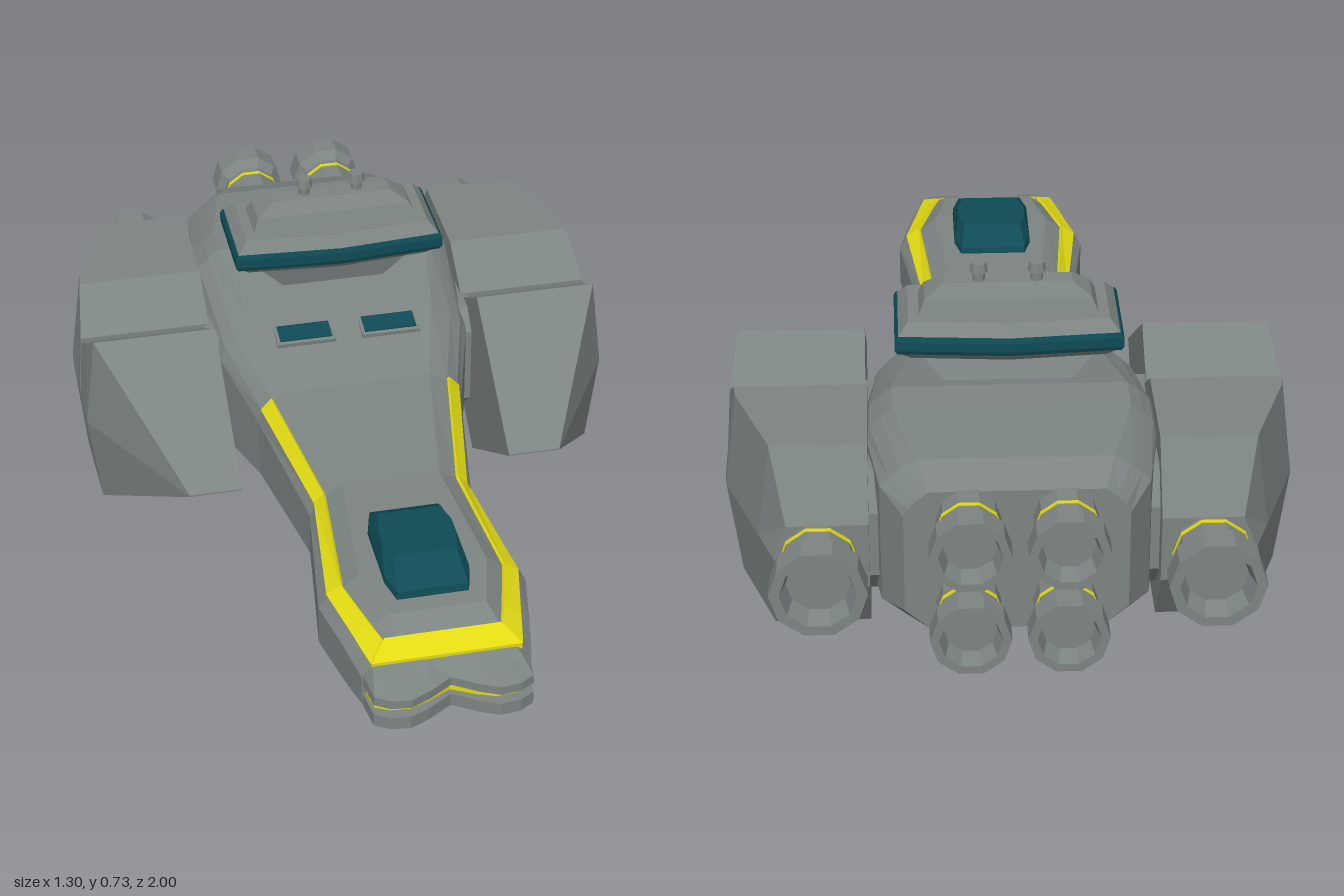
import * as THREE from 'three';

const material = (color) => new THREE.MeshStandardMaterial({ color, flatShading: true });
const grey = material(0x7c8482);
const yellow = material(0xe2da12);
const teal = material(0x0f4b55);

function add(parent, name, geometry, mat, x = 0, y = 0, z = 0) {
  const mesh = new THREE.Mesh(geometry, mat);
  mesh.name = name;
  mesh.position.set(x, y, z);
  parent.add(mesh);
  return mesh;
}

// Closed faceted solid through rings of [x, y, z]; faces are turned outward by signed volume.
function loft(rings) {
  const n = rings[0].length;
  const tris = [];
  for (let i = 0; i + 1 < rings.length; i++) {
    for (let j = 0; j < n; j++) {
      const k = (j + 1) % n;
      const [a, b, c, d] = [rings[i][j], rings[i][k], rings[i + 1][k], rings[i + 1][j]];
      tris.push([a, b, c], [a, c, d]);
    }
  }
  const first = rings[0], last = rings[rings.length - 1];
  const middle = (ring) => [0, 1, 2].map((c) => ring.reduce((sum, p) => sum + p[c], 0) / n);
  const m0 = middle(first), m1 = middle(last);
  for (let j = 0; j < n; j++) {
    const k = (j + 1) % n;
    tris.push([m0, first[k], first[j]], [m1, last[j], last[k]]);
  }
  let volume = 0;
  for (const [a, b, c] of tris) {
    volume += new THREE.Vector3(...a).dot(new THREE.Vector3(...b).cross(new THREE.Vector3(...c)));
  }
  if (volume < 0) tris.forEach((t) => t.reverse());
  const geometry = new THREE.BufferGeometry();
  geometry.setAttribute('position', new THREE.Float32BufferAttribute(tris.flat(2), 3));
  geometry.computeVertexNormals();
  return geometry;
}

// Half sections: z, then x,y of bottom, lower side, upper side, stripe outer, stripe inner, deck edge.
const hullSections = [
  [0.905, 0.135, 0.125, 0.19, 0.165, 0.24, 0.165, 0.27, 0.165, 0.27, 0.1, 0.27],
  [0.86, 0.14, 0.105, 0.2, 0.16, 0.245, 0.175, 0.272, 0.13, 0.295, 0.1, 0.295],
  [0.81, 0.145, 0.09, 0.21, 0.155, 0.25, 0.185, 0.275, 0.145, 0.298, 0.11, 0.325],
  [0.67, 0.16, 0.085, 0.238, 0.15, 0.25, 0.215, 0.28, 0.182, 0.302, 0.145, 0.33],
  [0.34, 0.13, 0.08, 0.193, 0.14, 0.25, 0.178, 0.28, 0.155, 0.305, 0.115, 0.33],
  [0, 0.17, 0.08, 0.25, 0.13, 0.28, 0.24, 0.315, 0.214, 0.345, 0.17, 0.365],
  [-0.2, 0.25, 0.07, 0.31, 0.11, 0.34, 0.295, 0.37, 0.27, 0.392, 0.22, 0.42],
  [-0.47, 0.27, 0.06, 0.325, 0.1, 0.41, 0.315, 0.435, 0.29, 0.46, 0.265, 0.48],
  [-0.56, 0.27, 0.06, 0.325, 0.1, 0.41, 0.315, 0.43, 0.29, 0.455, 0.265, 0.477],
  [-0.76, 0.24, 0.065, 0.295, 0.11, 0.4, 0.275, 0.42, 0.25, 0.442, 0.215, 0.464],
  [-0.84, 0.19, 0.08, 0.245, 0.13, 0.37, 0.235, 0.39, 0.215, 0.41, 0.19, 0.43],
];

function hullRing([z, bx, by, wx, ly, uy, ox, oy, ix, iy, tx, ty]) {
  const half = [[bx, by], [wx, ly], [wx, uy], [ox, oy], [ix, iy], [tx, ty]];
  const mirrored = half.map(([x, y]) => [-x, y]).reverse();
  return [...half, ...mirrored].map(([x, y]) => [x, y, z]);
}

function buildHull(root) {
  const hull = new THREE.Group();
  hull.name = 'hull';
  root.add(hull);
  add(hull, 'hullBody', loft(hullSections.map(hullRing)), grey);

  // Yellow stripe along both shoulders and across the nose
  const lift = 0.005;
  for (const s of [1, -1]) {
    const rings = hullSections.slice(0, 6).map(([z, , , , , , ox, oy, ix, iy]) => [
      [s * ox, oy, z], [s * ix, iy, z],
      [s * (ix + lift), iy + lift, z], [s * (ox + lift), oy + lift, z],
    ]);
    add(hull, 'shoulderStripe', loft(rings), yellow);
  }
  const bar = (x, y, z) => [[-x, y - 0.01, z], [x, y - 0.01, z], [x, y + lift, z], [-x, y + lift, z]];
  add(hull, 'noseStripe', loft([bar(0.168, 0.27, 0.907), bar(0.13, 0.296, 0.858)]), yellow);

  // Twin-lobed nose: outline at height y, its front flattened by t toward z = flat
  const noseSide = [[0.17, 0.7], [0.188, 0.9], [0.178, 0.975], [0.145, 0.995], [0.1, 1], [0.055, 0.98]];
  const noseOutline = [...noseSide, [0, 0.945], ...noseSide.map(([x, z]) => [-x, z]).reverse()];
  const noseRing = ([y, sx, t, flat]) => noseOutline.map(([x, z]) =>
    [x * sx, y, z > 0.8 ? z + (flat - z) * t : z]);
  add(hull, 'noseLower', loft([
    [0.105, 0.72, 1, 0.86], [0.16, 1, 0, 1], [0.192, 1, 0, 1],
  ].map(noseRing)), grey);
  add(hull, 'noseLight', loft([[0.185, 0.97, 0.2, 0.87], [0.225, 0.97, 0.2, 0.87]].map(noseRing)), yellow);
  add(hull, 'noseUpper', loft([
    [0.218, 1, 0, 1], [0.24, 0.99, 0, 1], [0.268, 0.88, 1, 0.905],
  ].map(noseRing)), grey);

  // Canopy
  const canopyRing = (y, x, xe, z0, z1) => [
    [xe, y, z0], [x, y, z0 + 0.06], [x, y, z1 - 0.06], [xe, y, z1],
    [-xe, y, z1], [-x, y, z1 - 0.06], [-x, y, z0 + 0.06], [-xe, y, z0],
  ];
  add(hull, 'canopy', loft([
    canopyRing(0.315, 0.098, 0.082, 0.47, 0.77),
    canopyRing(0.345, 0.096, 0.08, 0.475, 0.765),
    canopyRing(0.382, 0.085, 0.072, 0.53, 0.685),
  ]), teal);

  // Deck windows set flat in shallow frames
  for (const s of [1, -1]) {
    const frame = add(hull, 'windowFrame', new THREE.BoxGeometry(0.144, 0.024, 0.07), grey, s * 0.105, 0.404, -0.165);
    const pane = add(hull, 'window', new THREE.BoxGeometry(0.128, 0.006, 0.054), teal, s * 0.105, 0.416, -0.165);
    frame.rotation.x = pane.rotation.x = 0.15;
  }
}

// Nozzle pointing to -z: neck, yellow ring, flared bell and recessed dish
function buildEngine(root, x, y, z, radius, length, ringAt) {
  const engine = new THREE.Group();
  engine.name = 'engine';
  engine.position.set(x, y, z);
  root.add(engine);
  const neck = radius * 0.8;
  const profile = [
    [0, -0.08], [neck, -0.08], [neck, length * 0.5], [radius, length * 0.64], [radius, length],
    [radius * 0.78, length], [radius * 0.66, length * 0.72], [0, length * 0.72],
  ].map(([r, h]) => new THREE.Vector2(r, h));
  add(engine, 'nozzle', new THREE.LatheGeometry(profile, 10, Math.PI / 2).rotateX(-Math.PI / 2), grey);
  const ring = new THREE.CylinderGeometry(neck * 1.03, neck * 1.03, 0.01, 10, 1, false, Math.PI / 2);
  add(engine, 'engineRing', ring.rotateX(-Math.PI / 2), yellow, 0, 0, -ringAt);
}

function buildPod(root, s) {
  const pod = new THREE.Group();
  pod.name = s > 0 ? 'leftPod' : 'rightPod';
  root.add(pod);
  // z, half height, outer x at top and bottom, outer x at mid height, inner x
  const ring = ([z, h, xo, xm, xi = 0.325]) => [
    [xi, -h], [xo, -h], [xm, 0], [xo, h], [xi, h],
  ].map(([x, y]) => [s * x, 0.23 + y, z]);
  add(pod, 'podFront', loft([
    [0.185, 0.002, 0.45, 0.45], [-0.16, 0.23, 0.62, 0.648],
    [-0.24, 0.175, 0.632, 0.648], [-0.283, 0.15, 0.637, 0.648],
  ].map(ring)), grey);
  add(pod, 'podCollar', loft([
    [-0.27, 0.112, 0.632, 0.642, 0.3], [-0.32, 0.112, 0.632, 0.642, 0.3],
  ].map(ring)), yellow);
  add(pod, 'podRear', loft([
    [-0.3, 0.15, 0.637, 0.648, 0.32], [-0.42, 0.23, 0.62, 0.648, 0.32], [-0.46, 0.23, 0.615, 0.645, 0.32],
    [-0.68, 0.23, 0.535, 0.565, 0.32], [-0.775, 0.08, 0.5, 0.53, 0.32],
  ].map(ring)), grey);

  // Bevelled root joining the pod to the hull
  const rootOutline = [
    [-0.2, 0.13], [-0.2, 0.33], [-0.25, 0.375], [-0.68, 0.39],
    [-0.73, 0.31], [-0.73, 0.15], [-0.67, 0.08], [-0.25, 0.085],
  ];
  add(pod, 'podRoot', loft([0.22, 0.332].map((x) => rootOutline.map(([z, y]) => [s * x, y, z]))), grey);
  buildEngine(pod, s * 0.43, 0.23, -0.75, 0.107, 0.175, 0.045);
}

function buildBridge(root) {
  const bridge = new THREE.Group();
  bridge.name = 'bridge';
  root.add(bridge);
  const z = -0.355;
  // Bowed rectangle at height y
  const ring = ([y, rx, rz, bow = 0.018]) => [
    [rx, y, z + rz - bow], [0, y, z + rz], [-rx, y, z + rz - bow],
    [-rx, y, z - rz + bow], [0, y, z - rz], [rx, y, z - rz + bow],
  ];
  const neckRing = (y, x, z0, z1) => [[x, y, z0], [-x, y, z0], [-x, y, z1], [x, y, z1]];
  add(bridge, 'neck', loft([neckRing(0.4, 0.08, -0.34, -0.46), neckRing(0.54, 0.21, -0.305, -0.4)]), grey);
  add(bridge, 'bridgeBase', loft([[0.535, 0.22, 0.1], [0.565, 0.25, 0.128]].map(ring)), grey);
  add(bridge, 'bridgeWindows', loft([
    [0.56, 0.25, 0.128], [0.57, 0.256, 0.132], [0.592, 0.256, 0.132], [0.603, 0.25, 0.128],
  ].map(ring)), teal);
  add(bridge, 'bridgeRoof', loft([[0.6, 0.25, 0.128], [0.63, 0.225, 0.105]].map(ring)), grey);
  add(bridge, 'bridgeCrown', loft([
    [0.625, 0.203, 0.06, 0], [0.66, 0.188, 0.045, 0], [0.69, 0.145, 0.022, 0],
  ].map(ring)), grey);
  for (const s of [1, -1]) {
    add(bridge, 'mast', new THREE.CylinderGeometry(0.014, 0.014, 0.04, 8), grey, s * 0.065, 0.7, z - 0.005);
    add(bridge, 'mastCap', new THREE.CylinderGeometry(0.017, 0.021, 0.022, 8), grey, s * 0.065, 0.722, z - 0.005);
  }
}

export function createModel() {
  const model = new THREE.Group();
  model.name = 'spaceship';
  buildHull(model);
  buildBridge(model);
  for (const s of [1, -1]) {
    buildPod(model, s);
    for (const y of [0.155, 0.365]) buildEngine(model, s * 0.105, y, -0.84, 0.088, 0.16, 0.055);
  }
  return model;
}
